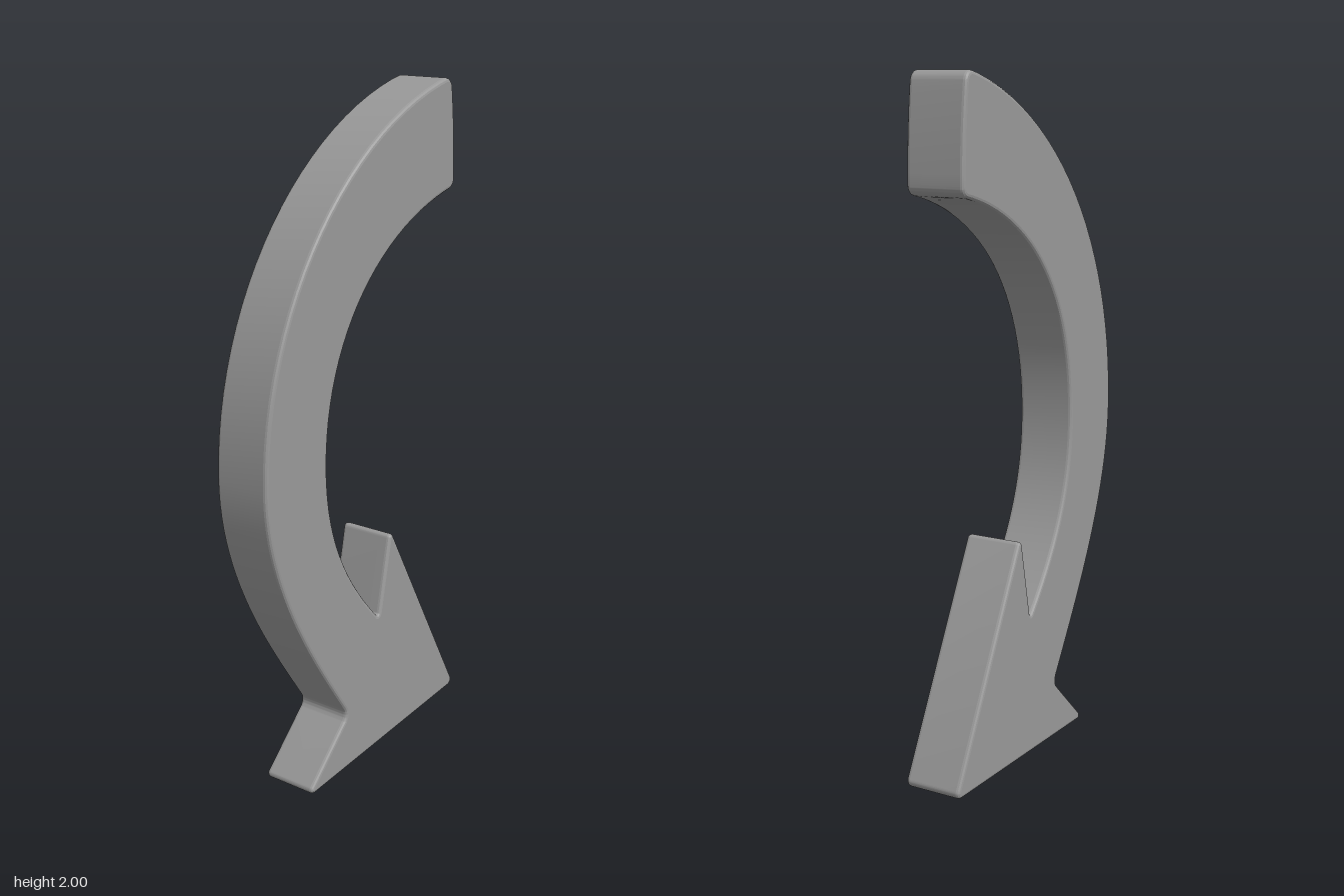
import * as THREE from 'three';
import { toCreasedNormals } from 'three/addons/utils/BufferGeometryUtils.js';

const V = (x, y) => new THREE.Vector2(x, y);

// Points along a cubic curve, without its two end points
function bend(a, b, c, d, n = 24) {
  return new THREE.CubicBezierCurve(a, b, c, d).getPoints(n).slice(1, -1);
}

// Replaces corner p, between neighbours a and b, with an arc of radius r
function fillet(a, p, b, r, steps = 14) {
  const u = a.clone().sub(p).normalize();
  const w = b.clone().sub(p).normalize();
  const half = Math.acos(u.dot(w)) / 2;
  const reach = r / Math.tan(half);
  const centre = u.clone().add(w).normalize().multiplyScalar(r / Math.sin(half)).add(p);
  const from = u.multiplyScalar(reach).add(p).sub(centre);
  const to = w.multiplyScalar(reach).add(p).sub(centre);
  const sweep = Math.atan2(from.cross(to), from.dot(to));
  return Array.from({ length: steps + 1 }, (_, i) =>
    from.clone().rotateAround(V(0, 0), (sweep * i) / steps).add(centre));
}

export function createModel() {
  // Corners of the arrow
  const tailTop = V(0.39, 2.01), tailBottom = V(0.414, 1.692);
  const neckOuter = V(-0.104, 0.188), neckInner = V(0.05, 0.45);
  const barbLeft = V(-0.302, -0.002), point = V(0.476, 0.053), barbTop = V(0.107, 0.72);
  // Where the shaft runs vertical
  const outer = V(-0.465, 1.0), inner = V(-0.2, 1.0);

  // Counter-clockwise outline, ending with the slightly bulging tail end
  const outline = [
    tailTop,
    ...bend(tailTop, V(-0.1, 1.915), V(-0.465, 1.5), outer), outer,
    ...bend(outer, V(-0.465, 0.7), V(-0.26, 0.42), neckOuter),
    neckOuter, barbLeft, point, barbTop, neckInner,
    ...bend(neckInner, V(-0.11, 0.62), V(-0.2, 0.78), inner), inner,
    ...bend(inner, V(-0.2, 1.37), V(0.05, 1.62), tailBottom),
    tailBottom,
    ...bend(tailBottom, V(0.413, 1.8), V(0.407, 1.9), tailTop, 6),
  ];

  // Soften the corners
  const radius = new Map([
    [tailTop, 0.03], [tailBottom, 0.03], [neckOuter, 0.03], [neckInner, 0.006],
    [barbLeft, 0.013], [point, 0.02], [barbTop, 0.013],
  ]);
  const n = outline.length;
  const rounded = outline.flatMap((p, i) => radius.has(p)
    ? fillet(outline[(i + n - 1) % n], p, outline[(i + 1) % n], radius.get(p))
    : [p]);

  // Solid plate with small rounded edges and flat faces
  const bevel = 0.011, depth = 0.172;
  const plate = new THREE.ExtrudeGeometry(new THREE.Shape(rounded), {
    depth: depth - 2 * bevel,
    bevelSize: bevel, bevelThickness: bevel, bevelOffset: -bevel, bevelSegments: 3,
  });
  plate.computeBoundingBox();
  const mid = plate.boundingBox.getCenter(new THREE.Vector3());
  plate.translate(-mid.x, -plate.boundingBox.min.y, -mid.z);

  const arrow = new THREE.Mesh(
    toCreasedNormals(plate, 0.22),
    new THREE.MeshStandardMaterial({ color: 0x999999 }),
  );
  arrow.name = 'curvedArrow';
  const group = new THREE.Group();
  group.name = 'arrow';
  group.add(arrow);
  return group;
}
